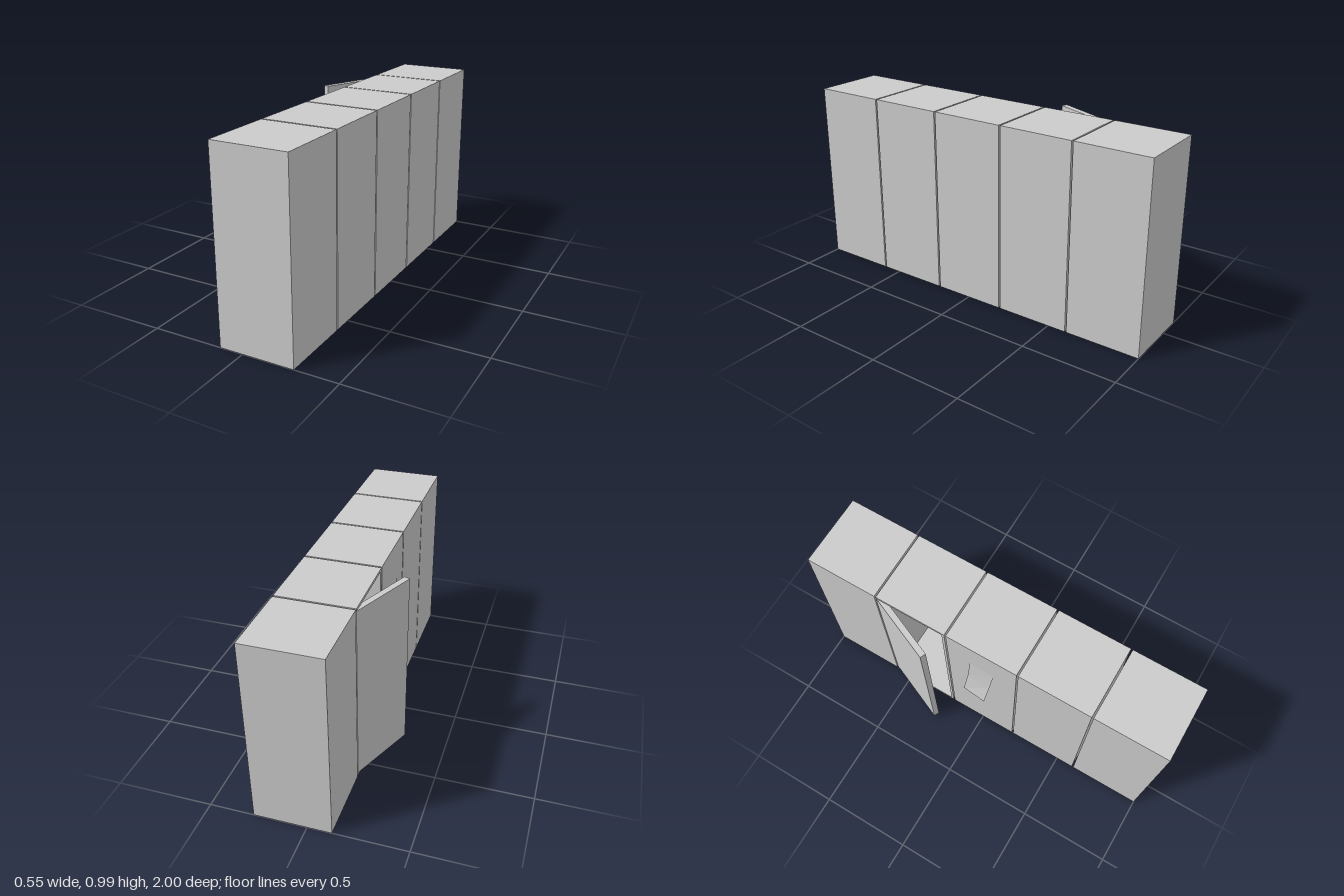
import * as THREE from 'three';

const material = new THREE.MeshStandardMaterial({ color: 0xcccccc, flatShading: true });
const sheetMaterial = new THREE.MeshStandardMaterial({ color: 0xcccccc, flatShading: true, side: THREE.DoubleSide });

const W = 0.393, PITCH = 0.40175, H = 0.992;  // locker width (z), spacing, height
const BACK = 0.272, FRONT = -0.124;           // door side faces -x
const DEPTH = BACK - FRONT, CX = (BACK + FRONT) / 2;
const WALL = 0.015;

function box(parent, name, sx, sy, sz, x, y, z) {
  const mesh = new THREE.Mesh(new THREE.BoxGeometry(sx, sy, sz), material);
  mesh.name = name;
  mesh.position.set(x, y, z);
  parent.add(mesh);
  return mesh;
}

// Hollow locker made of five panels, open towards -x
function openLocker(z) {
  const group = new THREE.Group();
  group.name = 'openLocker';
  const innerH = H - 2 * WALL, innerW = W - 2 * WALL;
  for (const s of [-1, 1]) {
    box(group, 'sidePanel', DEPTH, H, WALL, CX, H / 2, z + s * (W - WALL) / 2);
    box(group, s < 0 ? 'bottomPanel' : 'topPanel', DEPTH, WALL, innerW, CX, H / 2 + s * (H - WALL) / 2, z);
  }
  box(group, 'backPanel', WALL, innerH, innerW, BACK - WALL / 2, H / 2, z);
  return group;
}

// Paper sheet, a strip of rows from top to bottom, each given by two [x, y, z] ends
function hangingSheet() {
  const rows = [
    [[-0.125, 0.81, -0.065], [-0.125, 0.79, 0.07]],
    [[-0.138, 0.645, -0.075], [-0.141, 0.635, 0.055]],
    [[-0.163, 0.485, -0.09], [-0.173, 0.477, 0.04]],
  ];
  const index = [];
  for (let i = 0; i < rows.length - 1; i++) {
    const a = 2 * i;
    index.push(a, a + 2, a + 1, a + 1, a + 2, a + 3);
  }
  const geometry = new THREE.BufferGeometry();
  geometry.setAttribute('position', new THREE.Float32BufferAttribute(rows.flat(2), 3));
  geometry.setIndex(index);
  geometry.computeVertexNormals();
  const mesh = new THREE.Mesh(geometry, sheetMaterial);
  mesh.name = 'hangingSheet';
  return mesh;
}

export function createModel() {
  const model = new THREE.Group();
  model.name = 'lockerRow';

  // Row of five lockers, the second from the back standing open
  for (let i = -2; i <= 2; i++) {
    const z = i * PITCH;
    if (i === -1) model.add(openLocker(z));
    else box(model, 'closedLocker', DEPTH, H, W, CX, H / 2, z);
  }

  // Door ajar, swung about its hinge corner
  const hinge = new THREE.Group();
  hinge.name = 'openDoor';
  hinge.position.set(FRONT, 0, -0.596);
  hinge.rotation.y = -Math.atan2(0.151, 0.351);
  box(hinge, 'doorPanel', 0.032, 0.96, 0.382, 0.016, 0.498, 0.191);
  model.add(hinge);

  model.add(hangingSheet());
  return model;
}
